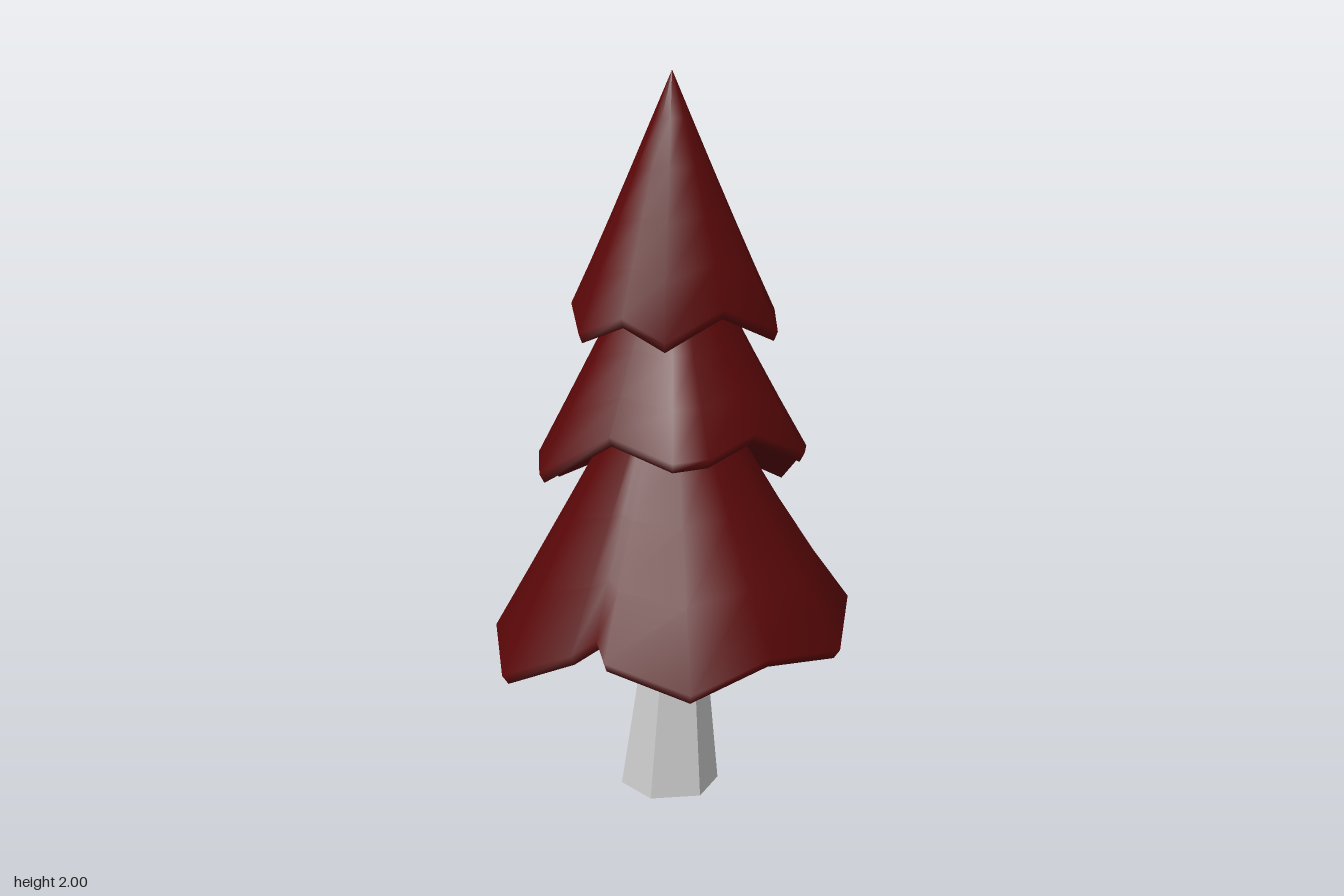
import * as THREE from 'three';

const RED = 0x5a0708;

// Surface through rings that all have the same number of [x, y, z] points
function loft(rings) {
  const n = rings[0].length, index = [];
  for (let r = 0; r < rings.length - 1; r++) {
    for (let i = 0; i < n; i++) {
      const j = (i + 1) % n;
      const a0 = r * n + i, a1 = r * n + j, b0 = a0 + n, b1 = a1 + n;
      index.push(b1, b0, a0, b1, a0, a1);
    }
  }
  const g = new THREE.BufferGeometry();
  g.setAttribute('position', new THREE.Float32BufferAttribute(rings.flat(2), 3));
  g.setIndex(index);
  g.computeVertexNormals();
  return g;
}

// Ragged skirt of needles: a pleated cone from its tip to an uneven rim, with a thin lip and a shallow underside
function tier(name, tipY, rim) {
  const mean = rim.reduce((s, p) => s + p[1], 0) / rim.length;
  const radius = rim.reduce((s, p) => s + Math.hypot(p[0], p[2]), 0) / rim.length;

  // Upper rings are round and level, lower ones take on the rim's shape
  const outerRing = (t) => rim.map(([x, y, z]) => {
    const r = Math.hypot(x, z);
    const s = t * (radius + (r - radius) * t) / r;
    return [x * s, tipY + (mean + (y - mean) * t * t - tipY) * t, z * s];
  });
  const under = (s, dy, level) => rim.map(([x, y, z]) =>
    [x * s, y + (mean - y) * level + dy, z * s]);

  const mesh = new THREE.Mesh(loft([
    ...[0, 0.2, 0.4, 0.6, 0.8, 1].map(outerRing),
    under(0.965, -0.025, 0), under(0.8, 0.03, 0.3), under(0.45, 0.065, 0.8), under(0, 0.08, 1),
  ]), new THREE.MeshStandardMaterial({ color: RED }));
  mesh.name = name;
  return mesh;
}

// Tapered six-sided trunk, an open tube with a slight lean
function trunk() {
  const ring = (rx, rz, cx, cz, y) => Array.from({ length: 6 }, (_, i) => {
    const a = i * Math.PI / 3 - 0.26;
    return [cx + rx * Math.cos(a), y, cz + rz * Math.sin(a)];
  });
  const g = loft([
    ring(0.065, 0.07, 0.02, 0.05, 0.6),
    ring(0.139, 0.146, 0, 0.05, 0),
  ]).toNonIndexed();
  g.computeVertexNormals();
  const mesh = new THREE.Mesh(g, new THREE.MeshStandardMaterial({
    color: 0xcccccc, flatShading: true, side: THREE.DoubleSide,
  }));
  mesh.name = 'trunk';
  return mesh;
}

export function createModel() {
  const tree = new THREE.Group();
  tree.name = 'tree';
  tree.add(trunk());
  // Rims run from the back by the left side to the front and round again
  tree.add(tier('lowerTier', 1.34, [
    [-0.08, 0.41, -0.505], [0.18, 0.47, -0.465], [0.405, 0.43, -0.315], [0.5, 0.53, -0.07],
    [0.48, 0.45, 0.195], [0.305, 0.48, 0.39], [0.11, 0.41, 0.5], [-0.12, 0.47, 0.45],
    [-0.155, 0.5, 0.36], [-0.215, 0.47, 0.405], [-0.43, 0.37, 0.285], [-0.5, 0.45, 0.07],
    [-0.485, 0.38, -0.19], [-0.31, 0.45, -0.39],
  ]));
  tree.add(tier('middleTier', 1.67, [
    [-0.05, 0.83, -0.39], [0.13, 0.92, -0.345], [0.31, 0.865, -0.25], [0.375, 0.96, -0.1],
    [0.375, 0.97, 0.1], [0.25, 1.04, 0.24], [0.14, 0.99, 0.36], [0.05, 0.98, 0.39],
    [-0.13, 1.03, 0.285], [-0.33, 0.92, 0.235], [-0.375, 0.95, 0.04], [-0.37, 0.87, -0.15],
    [-0.24, 0.91, -0.31],
  ]));
  tree.add(tier('upperTier', 2, [
    [0.05, 1.35, -0.295], [0.215, 1.32, -0.225], [0.28, 1.35, -0.09], [0.3, 1.3, 0.125],
    [0.16, 1.36, 0.17], [0.02, 1.28, 0.315], [-0.1, 1.34, 0.265],
    [-0.225, 1.295, 0.205], [-0.275, 1.37, 0.05], [-0.28, 1.35, -0.08], [-0.21, 1.31, -0.19],
    [-0.09, 1.36, -0.27],
  ]));
  return tree;
}
